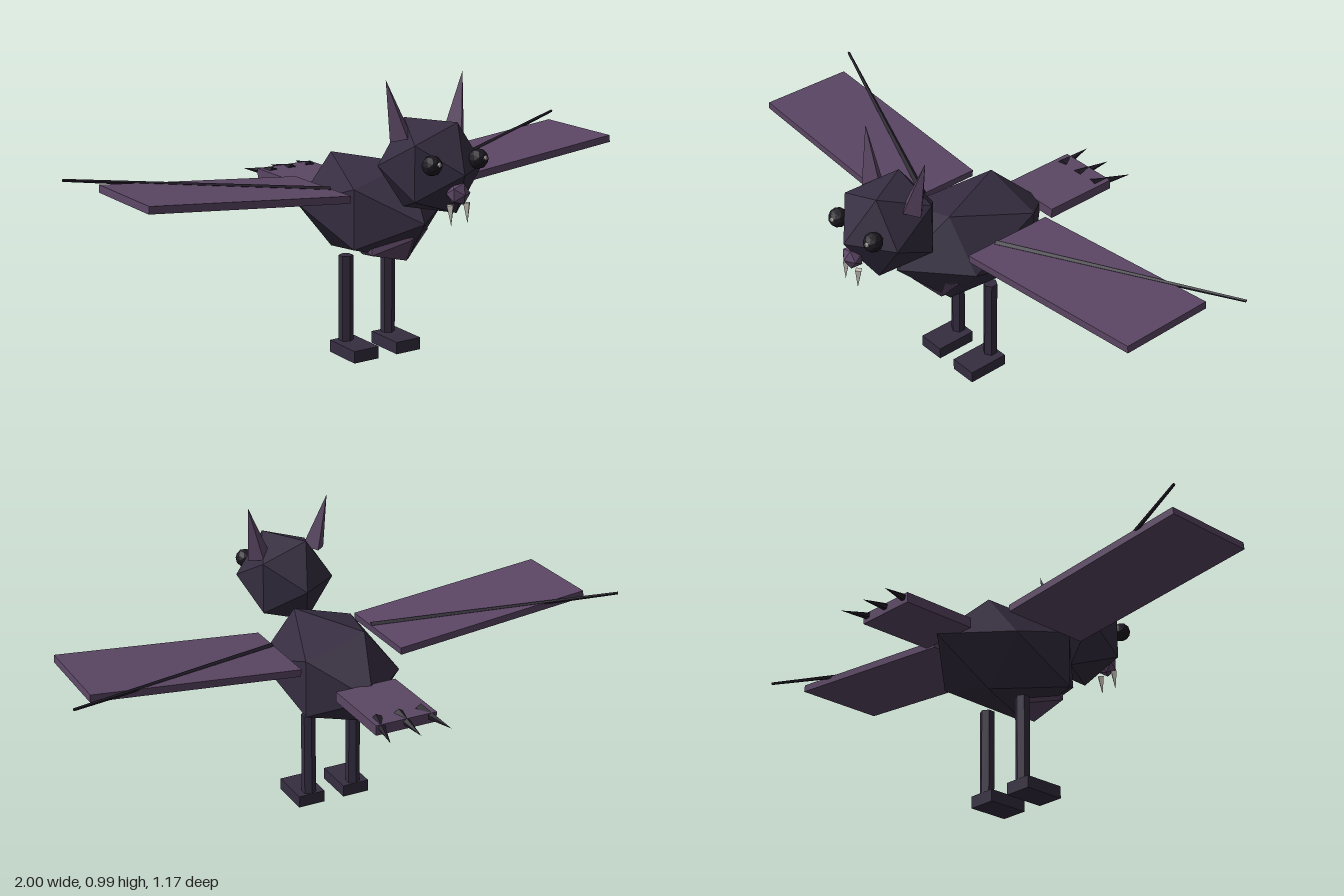
import * as THREE from 'three';
import { ConvexGeometry } from 'three/addons/geometries/ConvexGeometry.js';

export function createModel() {
  const root = new THREE.Group();
  const mat = (name, color) => {
    const m = new THREE.MeshStandardMaterial({ color, flatShading: true });
    m.name = name;
    return m;
  };
  const fur = mat('dark fur', 0x352d40);
  const skin = mat('purple skin', 0x5b4664);
  const bone = mat('dark claw', 0x221c28);
  const eyeMat = mat('eye black', 0x1b1820);
  const ivory = mat('ivory', 0xd2cdc4);

  const add = (name, geometry, material, x = 0, y = 0, z = 0) => {
    const m = new THREE.Mesh(geometry, material);
    m.name = name;
    m.position.set(x, y, z);
    root.add(m);
    return m;
  };

  // Faceted ball with its poles on z and two staggered five-point rings
  const ball = (rx, ry, rz) => {
    const pts = [new THREE.Vector3(0, 0, rz), new THREE.Vector3(0, 0, -rz)];
    for (let i = 0; i < 5; i++) {
      const a = (i * Math.PI * 2) / 5;
      const x = 0.8944 * rx * Math.cos(a), y = 0.8944 * ry * Math.sin(a), z = 0.4472 * rz;
      pts.push(new THREE.Vector3(x, y, z), new THREE.Vector3(-x, y, -z));
    }
    return new ConvexGeometry(pts);
  };

  // Tapered rod or cone running from point a to point b
  const rod = (name, a, b, r0, r1, sides, material) => {
    const from = new THREE.Vector3(...a), to = new THREE.Vector3(...b);
    const dir = to.clone().sub(from);
    const m = add(name, new THREE.CylinderGeometry(r1, r0, dir.length(), sides), material);
    m.position.copy(from).add(to).multiplyScalar(0.5);
    m.quaternion.setFromUnitVectors(new THREE.Vector3(0, 1, 0), dir.normalize());
    return m;
  };

  // Body, belly and head
  add('body', ball(0.218, 0.194, 0.319), fur, 0, 0.505, 0.058);
  add('belly', ball(0.14, 0.115, 0.165), skin, 0, 0.44, 0.148);
  add('head', ball(0.165, 0.173, 0.183), fur, 0, 0.708, 0.402);
  add('nose', ball(0.04, 0.04, 0.035), skin, 0, 0.645, 0.552);

  // Tail membrane with three claws
  add('tail', new THREE.BoxGeometry(0.22, 0.035, 0.275), skin, 0, 0.5225, -0.3475);
  for (const s of [-1, 0, 1]) {
    rod('tailClaw', [s * 0.078, 0.532, -0.43], [s * 0.11, 0.522, -0.58], 0.02, 0, 5, bone);
  }

  for (const s of [1, -1]) {
    const side = s > 0 ? 'left' : 'right';

    // Ears
    rod(side + 'Ear', [s * 0.105, 0.805, 0.385], [s * 0.15, 0.993, 0.368], 0.041, 0, 4, skin);

    // Eyes with small highlights
    add(side + 'Eye', new THREE.IcosahedronGeometry(0.033, 1), eyeMat, s * 0.09, 0.742, 0.535);
    add(side + 'EyeHighlight', new THREE.IcosahedronGeometry(0.01, 0), ivory,
      s * 0.09 + 0.006, 0.748, 0.562);

    // Fangs
    rod(side + 'Fang', [s * 0.032, 0.612, 0.554], [s * 0.032, 0.545, 0.56], 0.014, 0, 4, ivory);

    // Wing membrane and wing bone
    const wing = add(side + 'Wing', new THREE.BoxGeometry(0.732, 0.025, 0.335), skin,
      s * 0.551, 0.617, 0.0575);
    wing.rotation.z = s * 0.095;
    rod(side + 'WingBone', [s * 0.19, 0.592, 0.11], [s * 0.999, 0.672, -0.198],
      0.012, 0.005, 5, bone);

    // Legs and feet
    add(side + 'Leg', new THREE.CylinderGeometry(0.025, 0.025, 0.3, 6), fur, s * 0.086, 0.19, 0.045);
    add(side + 'Foot', new THREE.BoxGeometry(0.098, 0.042, 0.15), fur, s * 0.086, 0.021, 0.095);
  }

  return root;
}
